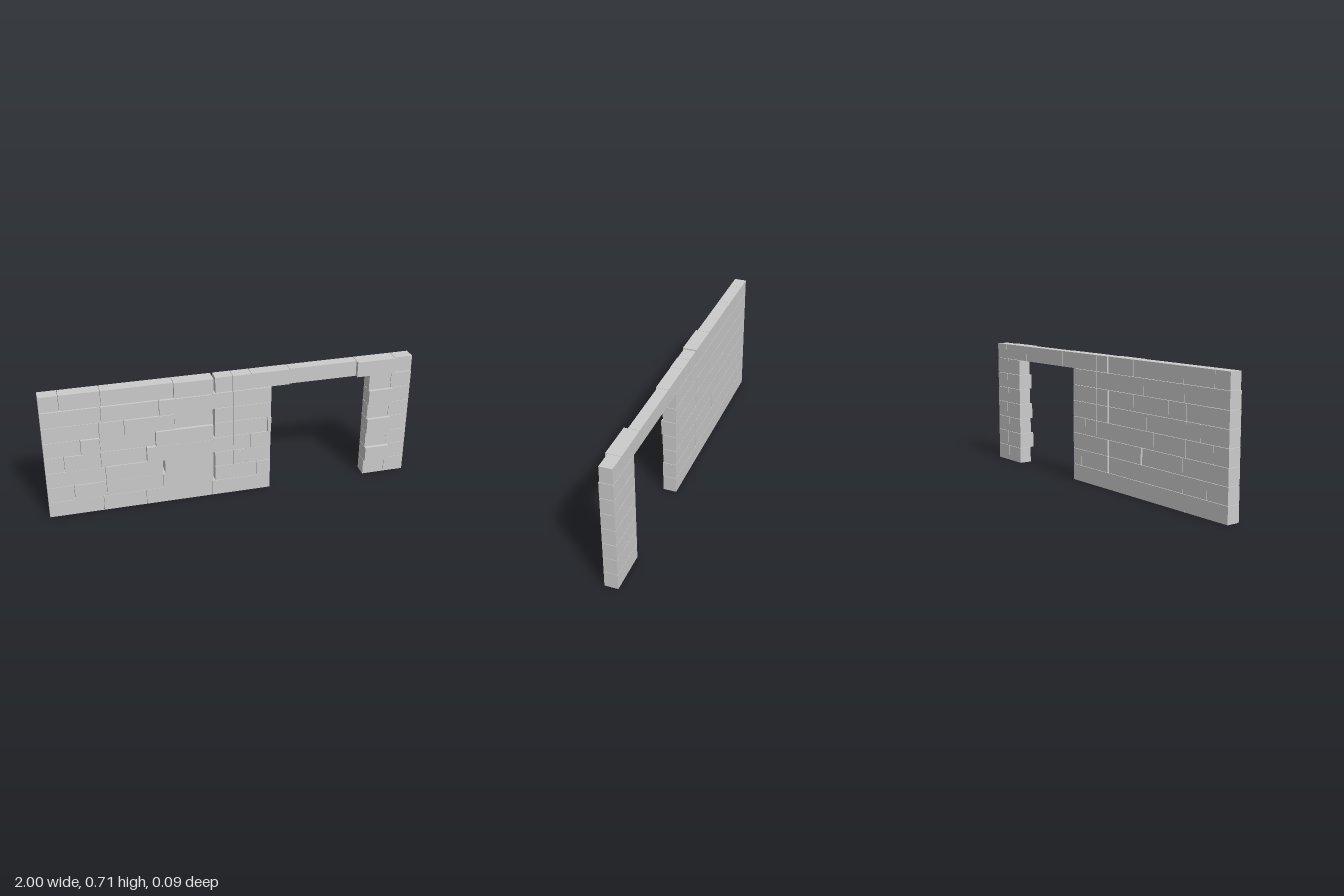
import * as THREE from 'three';

const BACK = -0.045, FACE = 0.027, JOINT = 0.002;
const LEVELS = [0, 0.09, 0.179, 0.267, 0.357, 0.445, 0.532, 0.621, 0.707];

// Each stone is [left, right, front z]; front defaults to the wall face.
const WALL = [
  [[-1, -0.71], [-0.71, -0.48], [-0.48, -0.115], [-0.115, 0], [0, 0.21]],
  [[-1, -0.86], [-0.86, -0.69, 0.029], [-0.69, -0.385, 0.028], [-0.385, -0.11, 0.03], [-0.1, 0], [0, 0.135], [0.135, 0.21, 0.029]],
  [[-1, -0.69], [-0.69, -0.385, 0.03], [-0.375, -0.11, 0.034], [-0.1, 0], [0, 0.075, 0.028], [0.075, 0.21]],
  [[-1, -0.9], [-0.9, -0.71, 0.029], [-0.71, -0.47], [-0.47, -0.115, 0.042], [-0.115, 0], [0, 0.095], [0.095, 0.21, 0.029]],
  [[-1, -0.81], [-0.81, -0.71, 0.036], [-0.71, -0.42], [-0.42, -0.11, 0.044], [-0.1, 0], [0, 0.19], [0.19, 0.21, 0.036]],
  [[-1, -0.71], [-0.71, -0.58, 0.032], [-0.58, -0.315, 0.036], [-0.315, -0.11, 0.03], [-0.1, 0], [0, 0.21]],
  [[-1, -0.695], [-0.695, -0.395, 0.03], [-0.395, -0.11, 0.035], [-0.11, 0], [0, 0.21]],
];
const PILLAR_FRONT = [FACE, 0.047, 0.03, 0.042, 0.028, 0.04, FACE];
const TOP = [
  [-1, -0.9, 0.022], [-0.9, -0.69, 0.022], [-0.69, -0.315, 0.022], [-0.315, -0.105, 0.031],
  [-0.095, 0, 0.022], [0, 0.1, 0.024], [0.1, 0.31, 0.022], [0.31, 0.685, 0.014],
  [0.685, 0.9, 0.034], [0.9, 1, 0.022],
];

export function createModel() {
  const model = new THREE.Group();
  model.name = 'stoneWallWithDoorway';
  const material = new THREE.MeshStandardMaterial({ color: 0xcccccc, flatShading: true });

  // One course of stones, with hairline joints between them
  function addCourse(parent, name, level, stones) {
    const y0 = LEVELS[level], y1 = LEVELS[level + 1];
    for (const [x0, x1, front = FACE] of stones) {
      const a = x0 === -1 ? x0 : x0 + JOINT / 2;
      const b = x1 === 1 ? x1 : x1 - JOINT / 2;
      const height = y1 - y0 - (level < 7 ? JOINT : 0);
      const stone = new THREE.Mesh(new THREE.BoxGeometry(b - a, height, front - BACK), material);
      stone.name = name;
      stone.position.set((a + b) / 2, y0 + height / 2, (front + BACK) / 2);
      parent.add(stone);
    }
  }

  function addGroup(name) {
    const group = new THREE.Group();
    group.name = name;
    model.add(group);
    return group;
  }

  // Long wall on one side of the doorway
  const wall = addGroup('longWall');
  WALL.forEach((stones, level) => addCourse(wall, 'wallStone', level, stones));

  // Narrow pillar on the other side, with alternating joints
  const pillar = addGroup('pillar');
  PILLAR_FRONT.forEach((front, level) => {
    const split = level % 2 ? 0.9 : 0.885;
    addCourse(pillar, 'pillarStone', level, [[0.76, split, front], [split, 1]]);
  });

  // Capping course that also spans the doorway
  addCourse(addGroup('topCourse'), 'capStone', 7, TOP);
  return model;
}
